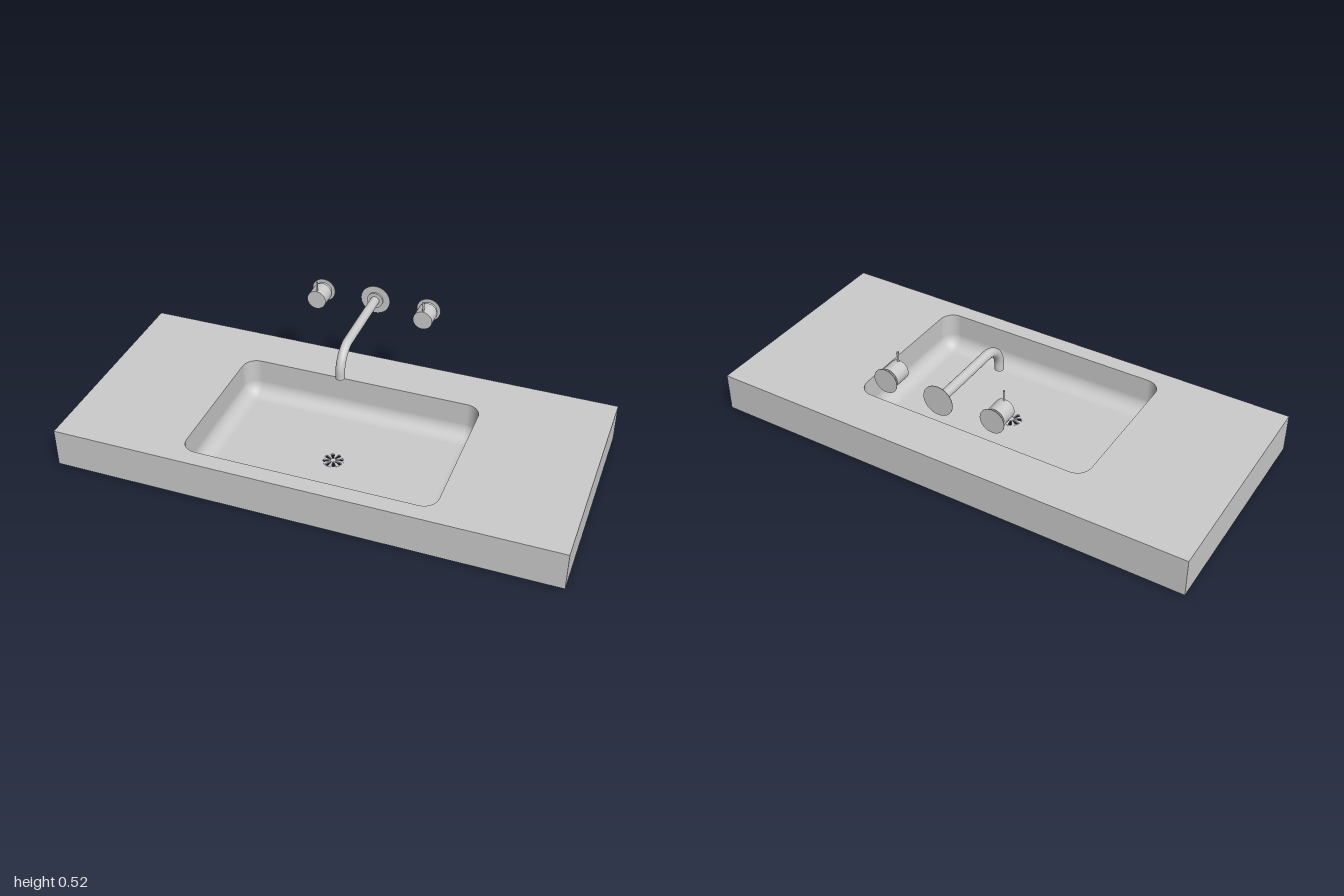
import * as THREE from 'three';

const grey = new THREE.MeshStandardMaterial({ color: 0xcccccc });
const greyDouble = new THREE.MeshStandardMaterial({ color: 0xcccccc, side: THREE.DoubleSide });

const BOTTOM = 0.005, TOP = 0.163, BACK = -0.455;
const DRAIN = { x: -0.003, z: 0.066, r: 0.042 };
const BASIN = { z: 0.0625, hx: 0.5, hz: 0.3225, r: 0.06 };

function add(parent, name, geometry, material = grey) {
  const mesh = new THREE.Mesh(geometry, material);
  mesh.name = name;
  parent.add(mesh);
  return mesh;
}

// Rounded rectangle as [x, z] points; n = 0 gives sharp corners
function roundedLoop(cz, hx, hz, r, n) {
  const pts = [];
  for (let k = 0; k < 4; k++) {
    const sx = k === 0 || k === 3 ? 1 : -1, sz = k < 2 ? 1 : -1;
    for (let i = 0; i <= n; i++) {
      const a = (k + (n ? i / n : 0.5)) * Math.PI / 2;
      pts.push([sx * (hx - r) + r * Math.cos(a), cz + sz * (hz - r) + r * Math.sin(a)]);
    }
  }
  return pts;
}

// Skin between successive loops, each { y, pts }
function loft(loops) {
  const n = loops[0].pts.length, pos = [], idx = [];
  loops.forEach(({ y, pts }) => pts.forEach(([x, z]) => pos.push(x, y, z)));
  for (let i = 0; i < loops.length - 1; i++) {
    for (let j = 0; j < n; j++) {
      const a = i * n + j, b = i * n + (j + 1) % n;
      idx.push(a, a + n, b, b, a + n, b + n);
    }
  }
  const g = new THREE.BufferGeometry();
  g.setAttribute('position', new THREE.Float32BufferAttribute(pos, 3));
  g.setIndex(idx);
  g.computeVertexNormals();
  return g;
}

const toVectors = (pts) => pts.map(([x, z]) => new THREE.Vector2(x, z));

// Cylinder along z from z0 to z1
function rod(r, z0, z1) {
  return new THREE.CylinderGeometry(r, r, z1 - z0, 40).rotateX(Math.PI / 2).translate(0, 0, (z0 + z1) / 2);
}

function buildWashbasin() {
  const g = new THREE.Group();
  g.name = 'washbasin';
  const outline = roundedLoop(0, 1, 0.455, 0, 0);
  const rim = roundedLoop(BASIN.z, BASIN.hx, BASIN.hz, BASIN.r, 10);

  // Countertop with the basin opening
  const topShape = new THREE.Shape(toVectors(outline));
  topShape.holes.push(new THREE.Path(toVectors(rim)));
  add(g, 'countertop', new THREE.ShapeGeometry(topShape).rotateX(Math.PI / 2).translate(0, TOP, 0), greyDouble);

  // Outer sides
  const sides = loft([{ y: BOTTOM, pts: outline }, { y: TOP, pts: outline }]).toNonIndexed();
  sides.computeVertexNormals();
  add(g, 'slabSides', sides);

  // Underside, also the basin floor, with the drain opening
  const floor = new THREE.Shape(toVectors(outline));
  floor.holes.push(new THREE.Path().absarc(DRAIN.x, DRAIN.z, DRAIN.r, 0, Math.PI * 2, true));
  add(g, 'basinFloor', new THREE.ShapeGeometry(floor, 24).rotateX(Math.PI / 2).translate(0, BOTTOM, 0), greyDouble);

  // Basin wall: straight drop, then a fillet into the floor
  const loops = [{ y: TOP, pts: rim }];
  const fillet = 0.06, steps = 10;
  for (let i = 0; i <= steps; i++) {
    const a = (i / steps) * Math.PI / 2;
    const inset = fillet * (1 - Math.cos(a));
    loops.push({
      y: BOTTOM + fillet * (1 - Math.sin(a)),
      pts: roundedLoop(BASIN.z, BASIN.hx - inset, BASIN.hz - inset, Math.max(0.001, BASIN.r - inset), 10),
    });
  }
  add(g, 'basinWall', loft(loops), greyDouble);

  // Drain strainer with wedge slots
  const disc = new THREE.Shape().absarc(0, 0, DRAIN.r + 0.001, 0, Math.PI * 2, false);
  for (let i = 0; i < 8; i++) {
    const a = (i + 0.5) * Math.PI / 4;
    const corner = (r, d) => new THREE.Vector2(r * Math.cos(a + d), r * Math.sin(a + d));
    disc.holes.push(new THREE.Path([
      corner(0.011, -0.2), corner(0.039, -0.2), corner(0.04, 0), corner(0.039, 0.2), corner(0.011, 0.2),
    ]));
  }
  const strainer = new THREE.ExtrudeGeometry(disc, { depth: 0.006, bevelEnabled: false, curveSegments: 32 });
  add(g, 'drainStrainer', strainer.rotateX(Math.PI / 2).translate(DRAIN.x, 0.006, DRAIN.z));
  return g;
}

function buildSpout() {
  const g = new THREE.Group();
  g.name = 'spout';
  const r = 0.0185, bend = 0.092, k = 0.448 * bend, zEnd = -0.043, yEnd = -0.115;
  const v = (y, z) => new THREE.Vector3(0, y, z);
  const path = new THREE.CurvePath();
  path.add(new THREE.LineCurve3(v(0, BACK), v(0, zEnd - bend)));
  path.add(new THREE.CubicBezierCurve3(v(0, zEnd - bend), v(0, zEnd - k), v(-k, zEnd), v(-bend, zEnd)));
  path.add(new THREE.LineCurve3(v(-bend, zEnd), v(yEnd, zEnd)));
  add(g, 'spoutPipe', new THREE.TubeGeometry(path, 80, r, 32, false));
  add(g, 'spoutOutlet', new THREE.CircleGeometry(r, 32).rotateX(Math.PI / 2).translate(0, yEnd, zEnd));
  add(g, 'spoutCollar', rod(0.033, BACK, BACK + 0.01));
  add(g, 'spoutWallPlate', rod(0.061, BACK, BACK + 0.002));
  g.position.set(-0.014, 0.44, 0);
  return g;
}

function buildValve(name, x) {
  const g = new THREE.Group();
  g.name = name;
  add(g, 'valveWallPlate', rod(0.049, BACK, BACK + 0.002));
  add(g, 'valveNeck', rod(0.034, BACK, -0.435));
  add(g, 'valveKnob', rod(0.039, -0.437, -0.368));
  add(g, 'valveLever', new THREE.CylinderGeometry(0.004, 0.004, 0.05, 16).translate(0, 0.055, -0.374));
  g.position.set(x, 0.44, 0);
  return g;
}

export function createModel() {
  const model = new THREE.Group();
  model.name = 'washbasinWithWallTaps';
  model.add(buildWashbasin(), buildSpout(), buildValve('rightValve', -0.236), buildValve('leftValve', 0.21));
  return model;
}
